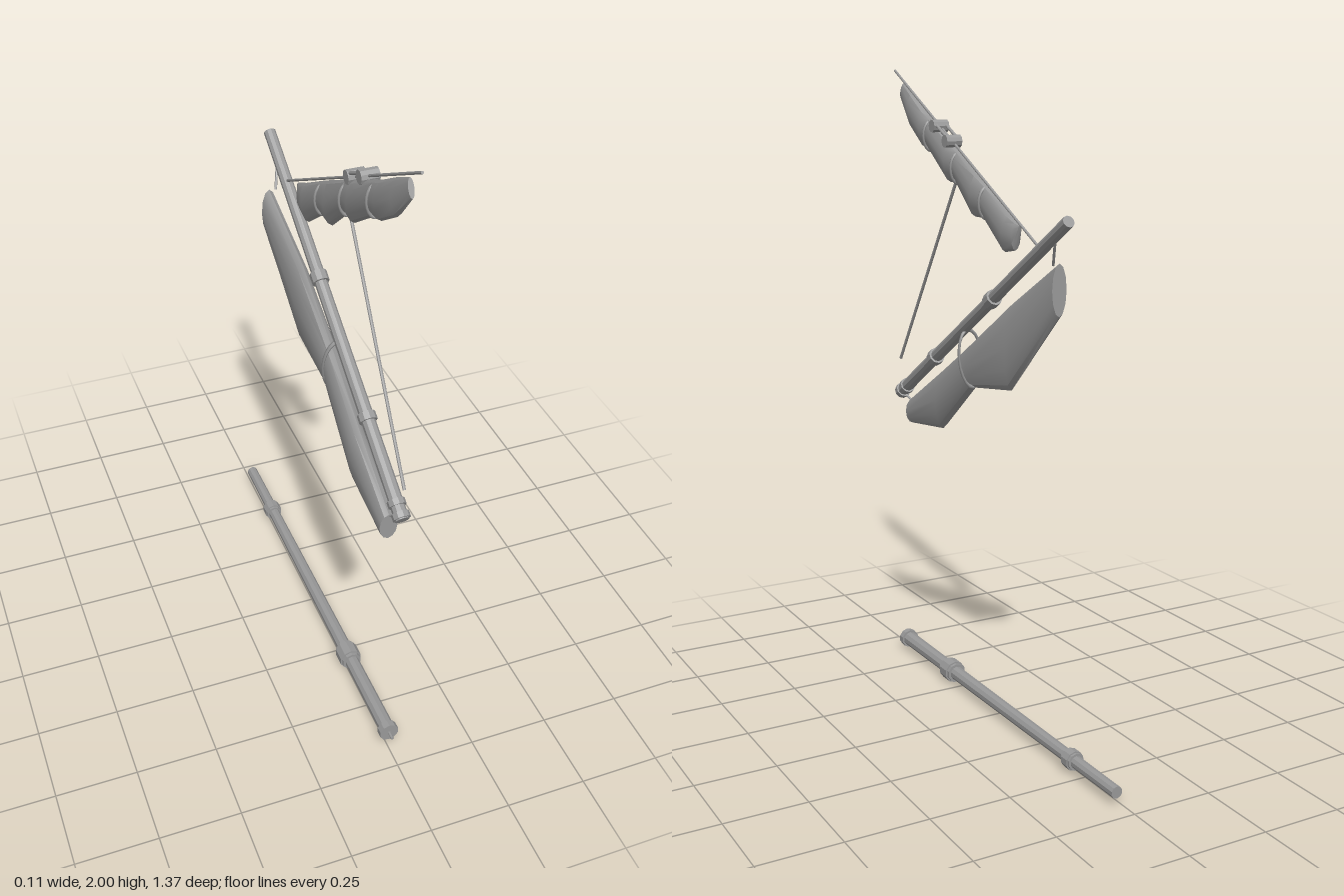
import * as THREE from 'three';
import { toCreasedNormals } from 'three/addons/utils/BufferGeometryUtils.js';

const X = 0.012; // sideways offset shared by the spars

export function createModel() {
  const model = new THREE.Group();
  model.name = 'boatRigging';
  const grey = new THREE.MeshStandardMaterial({ color: 0x999999 });
  grey.name = 'grey';

  const add = (name, geometry) => {
    const mesh = new THREE.Mesh(geometry, grey);
    mesh.name = name;
    model.add(mesh);
    return mesh;
  };

  // Round bar running from a to b, with a radius for each end
  const bar = (name, a, b, ra, rb = ra, sides = 10) => {
    const from = new THREE.Vector3(...a), to = new THREE.Vector3(...b);
    const dir = to.clone().sub(from);
    const geo = toCreasedNormals(new THREE.CylinderGeometry(rb, ra, dir.length(), sides), 0.5);
    const mesh = add(name, geo);
    mesh.position.copy(from).add(to).multiplyScalar(0.5);
    mesh.quaternion.setFromUnitVectors(new THREE.Vector3(0, 1, 0), dir.normalize());
    return mesh;
  };

  // Closed lens-shaped body; stations are [topZ, topY, bottomZ, bottomY, centreX, halfWidth]
  const loft = (name, stations, sides = 12) => {
    const pos = [], index = [];
    for (const [tz, ty, bz, by, cx, w] of stations) {
      for (let j = 0; j < sides; j++) {
        const t = (j / sides) * Math.PI * 2, c = Math.cos(t);
        pos.push(cx + w * Math.sin(t), (ty + by) / 2 + (ty - by) / 2 * c, (tz + bz) / 2 + (tz - bz) / 2 * c);
      }
    }
    for (let i = 0; i < stations.length - 1; i++) {
      for (let j = 0; j < sides; j++) {
        const a = i * sides + j, b = i * sides + (j + 1) % sides;
        index.push(a, b, a + sides, b, b + sides, a + sides);
      }
    }
    const last = (stations.length - 1) * sides;
    for (let j = 1; j < sides - 1; j++) {
      index.push(0, j + 1, j, last, last + j, last + j + 1);
    }
    const geo = new THREE.BufferGeometry();
    geo.setAttribute('position', new THREE.Float32BufferAttribute(pos, 3));
    geo.setIndex(index);
    return add(name, toCreasedNormals(geo, 0.6));
  };

  // Oval rope loop between a top and a bottom point [z, y]
  const tie = (name, [tz, ty], [bz, by], halfWidth, cx, thick) => {
    const dz = tz - bz, dy = ty - by, half = Math.hypot(dz, dy) / 2;
    const geo = new THREE.TorusGeometry(1, thick / half, 6, 20);
    geo.scale(halfWidth, half, half);
    const mesh = add(name, geo);
    mesh.position.set(cx, (ty + by) / 2, (tz + bz) / 2);
    mesh.rotation.x = Math.atan2(dz, dy);
  };

  // Lowered mast lying at the bottom, with collars and an end pin
  const my = 0.037;
  bar('mast', [X, my, 0.65], [X, my, -0.68], 0.024, 0.018);
  for (const [z, r, len] of [[0.642, 0.031, 0.022], [0.31, 0.031, 0.066], [0.31, 0.036, 0.045],
    [-0.447, 0.026, 0.045], [-0.447, 0.03, 0.03]]) {
    bar('mastCollar', [X, my, z + len / 2], [X, my, z - len / 2], r);
  }
  bar('mastPin', [X, my, 0.678], [X, my, 0.65], 0.005);

  // Slanted yard with collars along it
  const low = new THREE.Vector3(0.014, 0.925, 0.668), high = new THREE.Vector3(0.014, 1.587, -0.402);
  bar('yard', low.toArray(), high.toArray(), 0.021, 0.018);
  for (const [t, r, len] of [[0.01, 0.026, 0.018], [0.04, 0.026, 0.018], [0.245, 0.027, 0.024], [0.6, 0.026, 0.032]]) {
    const d = len / 2 / low.distanceTo(high);
    bar('yardCollar', low.clone().lerp(high, t - d).toArray(), low.clone().lerp(high, t + d).toArray(), r);
  }

  // Lower sail gathered at the middle by a large tie
  loft('lowerSail', [
    [0.618, 0.908, 0.618, 0.823, -0.004, 0.027],
    [0.39, 1.042, 0.39, 0.85, -0.004, 0.03],
    [0.18, 1.163, 0.165, 1.027, 0, 0.028],
    [-0.06, 1.316, -0.06, 1.057, -0.005, 0.028],
    [-0.284, 1.459, -0.284, 1.306, -0.031, 0.024],
  ]);
  tie('lowerSailTie', [0.193, 1.207], [0.163, 1.03], 0.04, 0.007, 0.007);
  bar('cornerRope', [-0.01, 1.455, -0.284], [X, 1.53, -0.33], 0.004);
  bar('cornerRope', [0, 0.9, 0.612], [X, 0.925, 0.655], 0.004);

  // Thin upper spar and the furled sail hanging under it
  bar('upperSpar', [X, 1.997, 0.687], [X, 1.5, -0.247], 0.004, 0.004, 8);
  loft('furledSail', [
    [0.629, 1.957, 0.65, 1.909, 0.008],
    [0.565, 1.925, 0.57, 1.819, 0.02],
    [0.475, 1.872, 0.475, 1.756, 0.025],
    [0.432, 1.851, 0.438, 1.75, 0.021],
    [0.3, 1.782, 0.3, 1.655, 0.027],
    [0.247, 1.756, 0.257, 1.66, 0.021],
    [0.125, 1.692, 0.141, 1.56, 0.026],
    [0.066, 1.66, 0.077, 1.56, 0.021],
    [-0.066, 1.586, -0.045, 1.47, 0.022],
    [-0.109, 1.565, -0.103, 1.48, 0.016],
    [-0.13, 1.555, -0.125, 1.533, 0.006],
  ].map(([a, b, c, d, w]) => [a, b, c, d, 0.008, w]));
  for (const [z, y] of [[0.433, 1.84], [0.248, 1.746], [0.068, 1.652]]) {
    tie('furledSailTie', [z, y], [z + 0.006, y - 0.092], 0.027, 0.008, 0.006);
  }

  // Pair of pulley wheels joined by a short link on the spar
  for (const [z, y] of [[0.363, 1.825], [0.276, 1.781]]) {
    bar('pulley', [X - 0.022, y, z], [X + 0.03, y, z], 0.02);
  }
  for (const x of [X - 0.014, X + 0.02]) {
    bar('pulleyLink', [x, 1.835, 0.363], [x, 1.791, 0.276], 0.005);
  }

  // Hauling rope
  bar('haulingRope', [X, 1.66, 0.257], [X, 1.04, 0.675], 0.005, 0.005, 8);
  return model;
}
